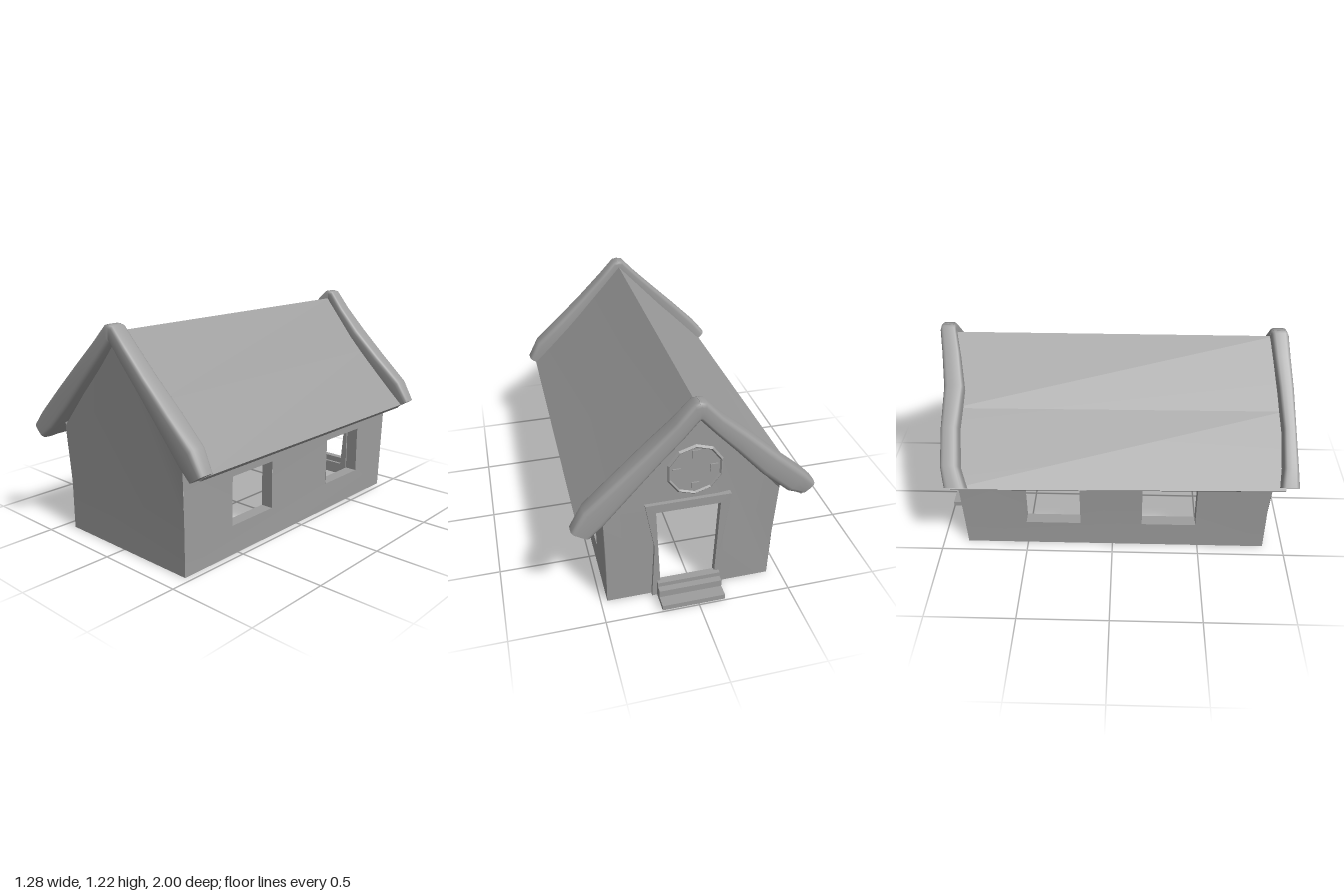
import * as THREE from 'three';
import { toCreasedNormals } from 'three/addons/utils/BufferGeometryUtils.js';

const COLOR = 0x9d9d9d;
const flat = new THREE.MeshStandardMaterial({ color: COLOR, flatShading: true, side: THREE.DoubleSide });
const smooth = new THREE.MeshStandardMaterial({ color: COLOR, side: THREE.DoubleSide });

// Outward lean of each wall above its lower part
const rightX = (y) => 0.465 + Math.max(0, y - 0.3) * 0.033;
const leftX = (y) => -0.43 - Math.max(0, y - 0.27) * 0.04;
const frontZ = (y) => 0.885 + Math.min(0.015, Math.max(0, y - 0.3) * 0.05);
const backZ = (y) => -0.855 - Math.min(0.02, y * 0.033);

function add(parent, name, geometry, material = flat) {
  const mesh = new THREE.Mesh(geometry, material);
  mesh.name = name;
  parent.add(mesh);
  return mesh;
}

function box(parent, name, x0, x1, y0, y1, z0, z1) {
  const m = add(parent, name, new THREE.BoxGeometry(x1 - x0, y1 - y0, z1 - z0));
  m.position.set((x0 + x1) / 2, (y0 + y1) / 2, (z0 + z1) / 2);
}

const toShape = (pts) => new THREE.Shape(pts.map((p) => new THREE.Vector2(...p)));
const rect = (a0, a1, b0, b1) => [[a0, b0], [a0, b1], [a1, b1], [a1, b0]];

// Flat sheet with openings, each corner then placed by a rule
function sheet(outline, holes, place) {
  const shape = toShape(outline);
  holes.forEach((h) => shape.holes.push(toShape(h)));
  const geo = new THREE.ShapeGeometry(shape);
  const pos = geo.attributes.position;
  for (let i = 0; i < pos.count; i++) pos.setXYZ(i, ...place(pos.getX(i), pos.getY(i)));
  geo.computeVertexNormals();
  return geo;
}

// Bargeboard: rounded rings between [outerX, outerY, innerX, innerY, zMin, zMax], closed at the ends
function bargeboard(rings) {
  const n = 20, pos = [], idx = [];
  const soft = (v) => Math.sign(v) * Math.abs(v) ** 0.5;
  const ringPoint = ([ox, oy, ix, iy, z0, z1], j) => {
    const a = (j / n) * Math.PI * 2, c = soft(Math.cos(a)) / 2, s = soft(Math.sin(a)) / 2;
    return [(ox + ix) / 2 + (ox - ix) * c, (oy + iy) / 2 + (oy - iy) * c, (z0 + z1) / 2 + (z1 - z0) * s];
  };
  rings.forEach((r) => { for (let j = 0; j < n; j++) pos.push(...ringPoint(r, j)); });
  for (let i = 0; i < rings.length - 1; i++) {
    for (let j = 0; j < n; j++) {
      const a = i * n + j, b = i * n + ((j + 1) % n);
      idx.push(a, b, a + n, b, b + n, a + n);
    }
  }
  [rings[0], rings[rings.length - 1]].forEach((r, end) => {
    const base = pos.length / 3;
    for (let j = 0; j < n; j++) pos.push(...ringPoint(r, j));
    for (let j = 1; j < n - 1; j++) idx.push(base, base + j + (end ? 0 : 1), base + j + (end ? 1 : 0));
  });
  // Keep the winding outward when the board runs towards +x
  if (rings[rings.length - 1][0] > 0) {
    for (let i = 0; i < idx.length; i += 3) [idx[i + 1], idx[i + 2]] = [idx[i + 2], idx[i + 1]];
  }
  const geo = new THREE.BufferGeometry();
  geo.setAttribute('position', new THREE.Float32BufferAttribute(pos, 3));
  geo.setIndex(idx);
  geo.computeVertexNormals();
  return geo;
}

export function createModel() {
  const house = new THREE.Group();
  house.name = 'house';

  // Gable walls; the doorway is in the back one
  const gable = [[-0.43, 0], [0.465, 0], [0.465, 0.3], [0.475, 0.6], [0.015, 1.13], [-0.443, 0.6], [-0.43, 0.27]];
  const doorway = [[-0.115, 0.07], [-0.125, 0.58], [0.21, 0.58], [0.18, 0.07]];
  add(house, 'frontWall', sheet(gable, [], (x, y) => [x, y, frontZ(y)]), smooth);
  add(house, 'backWall', sheet(gable.map(([x, y]) => [-x, y]).reverse(),
    [doorway.map(([x, y]) => [-x, y])], (x, y) => [-x, y, backZ(y)]), smooth);

  // Long walls with two windows each, lined by short tunnels running inwards
  const depth = 0.07, sill = 0.165, head = 0.435;
  const sides = [
    { name: 'leftSideWall', sign: 1, wallX: rightX, windows: [[0.23, 0.545], [-0.585, -0.27]] },
    { name: 'rightSideWall', sign: -1, wallX: leftX, windows: [[0.17, 0.48], [-0.5, -0.185]] },
  ];
  const long = [[backZ(0), 0], [frontZ(0), 0], [frontZ(0.3), 0.3], [frontZ(0.65), 0.65], [backZ(0.65), 0.65], [backZ(0.3), 0.3]];
  for (const { name, sign, wallX, windows } of sides) {
    add(house, name, sheet(long.map(([z, y]) => [-sign * z, y]),
      windows.map(([a, b]) => rect(-sign * a, -sign * b, sill, head)),
      (u, y) => [wallX(y), y, -sign * u]), smooth);
    for (const [z0, z1] of windows) {
      const tube = new THREE.CylinderGeometry(Math.SQRT1_2, Math.SQRT1_2, 1, 4, 1, true);
      tube.rotateY(Math.PI / 4).rotateZ(Math.PI / 2).scale(depth, head - sill, z1 - z0);
      const reveal = add(house, 'windowReveal', tube);
      reveal.position.set(wallX(0.3) - sign * (depth / 2 - 0.003), (sill + head) / 2, (z0 + z1) / 2);
    }
  }

  // Roof: folded slab; towards the front its right-hand eave draws in and its edge follows the bargeboard
  const profile = [[0.015, 1.17], [0.3, 0.862], [0.6, 0.555], [0.575, 0.53], [0.545, 0.53],
    [0.015, 1.1], [-0.535, 0.555], [-0.575, 0.53], [-0.6, 0.555], [-0.28, 0.862]];
  const slab = new THREE.ExtrudeGeometry(toShape(profile), { depth: 1.75, bevelEnabled: false });
  slab.translate(0, 0, -0.87);
  const rp = slab.attributes.position;
  for (let i = 0; i < rp.count; i++) {
    const x = rp.getX(i), front = (rp.getZ(i) + 0.87) / 1.75;
    if (x < 0) {
      rp.setX(i, x * (1 - 0.055 * front));
      rp.setZ(i, rp.getZ(i) + front * Math.min(0.055, -x * 0.16));
    }
  }
  add(house, 'roof', toCreasedNormals(slab, 0.3), smooth);

  // Thick wavy bargeboards on both gables, blunt at the ridge
  const boards = {
    frontLeftBargeboard: [
      [0.01, 1.21, 0.015, 1.12, 0.85, 0.945], [0.045, 1.205, 0.02, 1.115, 0.85, 0.945],
      [0.13, 1.115, 0.09, 1.03, 0.845, 0.945],
      [0.26, 0.985, 0.2, 0.91, 0.84, 0.945], [0.42, 0.835, 0.345, 0.745, 0.83, 0.945],
      [0.575, 0.695, 0.48, 0.59, 0.835, 0.945], [0.635, 0.58, 0.55, 0.525, 0.845, 0.94]],
    frontRightBargeboard: [
      [0.02, 1.21, 0.015, 1.12, 0.85, 0.945], [-0.012, 1.205, 0.01, 1.115, 0.855, 0.95],
      [-0.1, 1.11, -0.06, 1.03, 0.87, 0.96],
      [-0.22, 0.99, -0.17, 0.9, 0.89, 0.975], [-0.38, 0.835, -0.31, 0.74, 0.91, 0.985],
      [-0.53, 0.685, -0.44, 0.6, 0.91, 0.995], [-0.595, 0.605, -0.52, 0.535, 0.9, 1.0]],
    backLeftBargeboard: [
      [0.01, 1.22, 0.015, 1.12, -0.955, -0.87], [0.045, 1.215, 0.02, 1.115, -0.955, -0.865],
      [0.13, 1.115, 0.09, 1.03, -0.955, -0.855],
      [0.26, 0.985, 0.2, 0.91, -0.955, -0.84], [0.42, 0.835, 0.345, 0.745, -0.955, -0.845],
      [0.575, 0.695, 0.48, 0.59, -0.955, -0.855], [0.64, 0.58, 0.55, 0.525, -0.95, -0.865]],
    backRightBargeboard: [
      [0.02, 1.22, 0.015, 1.12, -0.955, -0.87], [-0.012, 1.215, 0.01, 1.115, -0.955, -0.865],
      [-0.1, 1.115, -0.07, 1.02, -0.94, -0.84],
      [-0.24, 0.985, -0.185, 0.89, -0.92, -0.81], [-0.41, 0.83, -0.33, 0.73, -0.925, -0.825],
      [-0.565, 0.69, -0.48, 0.59, -0.915, -0.81], [-0.64, 0.6, -0.57, 0.54, -0.89, -0.77]],
  };
  for (const [name, rings] of Object.entries(boards)) add(house, name, bargeboard(rings), smooth);

  // Crooked door frame around the doorway
  const frame = toShape([[-0.165, 0], [-0.15, 0.35], [-0.18, 0.63], [0.265, 0.63], [0.215, 0.35], [0.225, 0]]);
  frame.holes.push(toShape(doorway));
  const frameGeo = new THREE.ExtrudeGeometry(frame, { depth: 0.035, bevelEnabled: false });
  const fp = frameGeo.attributes.position;
  for (let i = 0; i < fp.count; i++) fp.setZ(i, fp.getZ(i) + backZ(fp.getY(i)) - 0.02);
  add(house, 'doorFrame', frameGeo);

  // Entrance steps
  [[0.075, 0.105, -0.9], [0.035, 0.08, -0.935], [0.01, 0.04, -1.0]].forEach(([y0, y1, z]) =>
    box(house, 'step', -0.14, 0.2, y0, y1, z, -0.86));

  // Round gable clock with plain marks at the quarters
  const clock = new THREE.Group();
  clock.name = 'clock';
  clock.position.set(0.015, 0.81, -0.882);
  house.add(clock);
  const disc = new THREE.CylinderGeometry(0.135, 0.135, 0.02, 10);
  add(clock, 'clockFace', disc.rotateX(Math.PI / 2));
  const rim = new THREE.TorusGeometry(0.138, 0.01, 4, 10);
  add(clock, 'clockRim', rim.rotateZ(Math.PI / 10)).position.z = -0.008;
  for (let i = 0; i < 4; i++) {
    const a = (i * Math.PI) / 2;
    const mark = add(clock, 'hourMark', new THREE.BoxGeometry(0.04, 0.045, 0.01));
    mark.position.set(Math.sin(a) * 0.095, Math.cos(a) * 0.095, -0.012);
  }
  return house;
}
